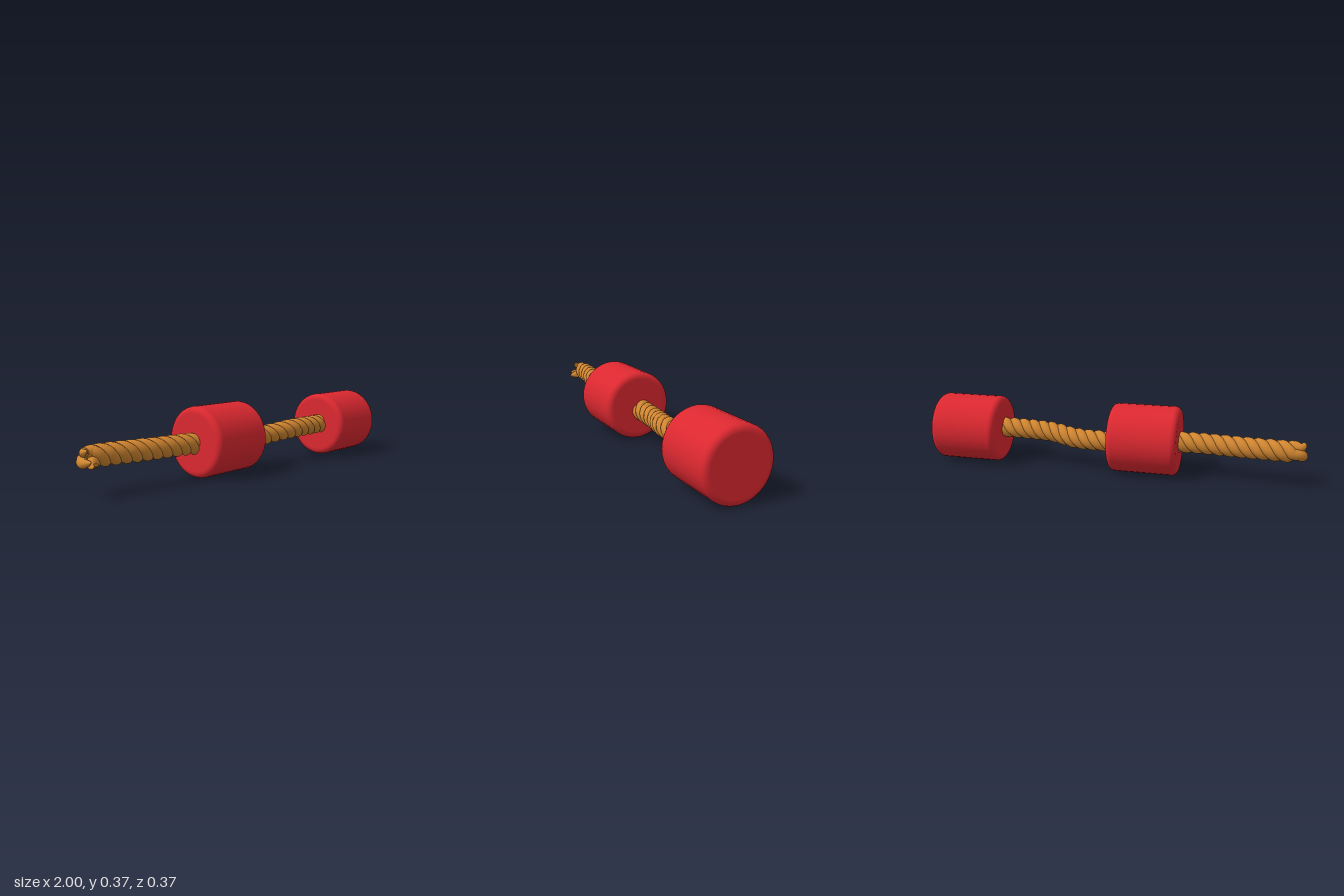
import * as THREE from 'three';

const red = new THREE.MeshStandardMaterial({ color: 0xdc2830 });
const tan = new THREE.MeshStandardMaterial({ color: 0xd08530, side: THREE.DoubleSide });

// Cylinder with rounded rims, lying along x
function roundedCylinder(radius, length, bevel) {
  const h = length / 2, pts = [new THREE.Vector2(0, -h), new THREE.Vector2(radius - bevel - 0.003, -h)];
  for (const side of [-1, 1]) {
    for (let i = 0; i <= 5; i++) {
      const a = (side < 0 ? -1 + i / 5 : i / 5) * Math.PI / 2;
      pts.push(new THREE.Vector2(radius - bevel + bevel * Math.cos(a), side * (h - bevel) + bevel * Math.sin(a)));
    }
  }
  pts.push(new THREE.Vector2(radius - bevel - 0.003, h), new THREE.Vector2(0, h));
  return new THREE.LatheGeometry(pts, 36).rotateZ(-Math.PI / 2);
}

// Gently wavering centre line of the rope
const ropeLine = new THREE.CatmullRomCurve3([
  [-0.93, 0.185, -0.033], [-0.85, 0.185, -0.032], [-0.65, 0.183, -0.013], [-0.4, 0.182, 0.004],
  [-0.2, 0.17, -0.015], [0, 0.165, -0.024], [0.2, 0.166, -0.014], [0.35, 0.182, 0.018],
  [0.5, 0.188, 0.024], [0.72, 0.19, 0.02],
].map(p => new THREE.Vector3(...p)));
ropeLine.arcLengthDivisions = 600;

// One twisted strand whose loose end curls to a point
function strandGeometry(phase, tip) {
  const pts = tip.map(p => new THREE.Vector3(...p)).reverse();
  const steps = 140, pitch = 0.168, offset = 0.027, radius = 0.0285;
  for (let i = 0; i <= steps; i++) {
    const p = ropeLine.getPointAt(i / steps);
    const a = phase + (p.x + 0.93) / pitch * Math.PI * 2;
    pts.push(new THREE.Vector3(p.x, p.y + offset * Math.cos(a), p.z + offset * Math.sin(a)));
  }
  const path = new THREE.CatmullRomCurve3(pts);
  path.arcLengthDivisions = 2000;
  const segments = 360, sides = 12, length = path.getLength();
  const geo = new THREE.TubeGeometry(path, segments, radius, sides);
  const pos = geo.attributes.position, v = new THREE.Vector3();
  // Taper the rings near the loose end
  for (let i = 0; i <= segments; i++) {
    const d = i / segments * length;
    if (d > 0.07) break;
    const c = path.getPointAt(i / segments), s = Math.max(0.05, Math.sqrt(d / 0.07));
    for (let j = 0; j <= sides; j++) {
      const k = i * (sides + 1) + j;
      v.fromBufferAttribute(pos, k).sub(c).multiplyScalar(s).add(c);
      pos.setXYZ(k, v.x, v.y, v.z);
    }
  }
  return geo;
}

export function createModel() {
  const model = new THREE.Group();
  model.name = 'ropeWithCylinders';

  // Two matching, slightly tilted cylinders
  const cylinder = roundedCylinder(0.181, 0.362, 0.03);
  [['middleCylinder', -0.178], ['endCylinder', 0.812]].forEach(([name, x]) => {
    const mesh = new THREE.Mesh(cylinder, red);
    mesh.name = name;
    mesh.position.set(x, 0.186, 0);
    mesh.rotation.set(0, 0.035, 0.01);
    model.add(mesh);
  });

  // Three-strand rope, frayed at its left-hand end
  const rope = new THREE.Group();
  rope.name = 'rope';
  const tips = [
    [[-0.965, 0.206, -0.03], [-0.982, 0.212, -0.008], [-0.978, 0.22, 0.012]],
    [[-0.952, 0.16, 0.002], [-0.966, 0.152, 0.022], [-0.966, 0.148, 0.042]],
    [[-0.965, 0.172, -0.045], [-0.98, 0.162, -0.022], [-0.983, 0.165, 0.005], [-0.975, 0.17, 0.035]],
  ];
  tips.forEach((tip, i) => {
    const strand = new THREE.Mesh(strandGeometry(0.35 + i * Math.PI * 2 / 3, tip), tan);
    strand.name = 'strand' + (i + 1);
    rope.add(strand);
  });
  model.add(rope);
  return model;
}
